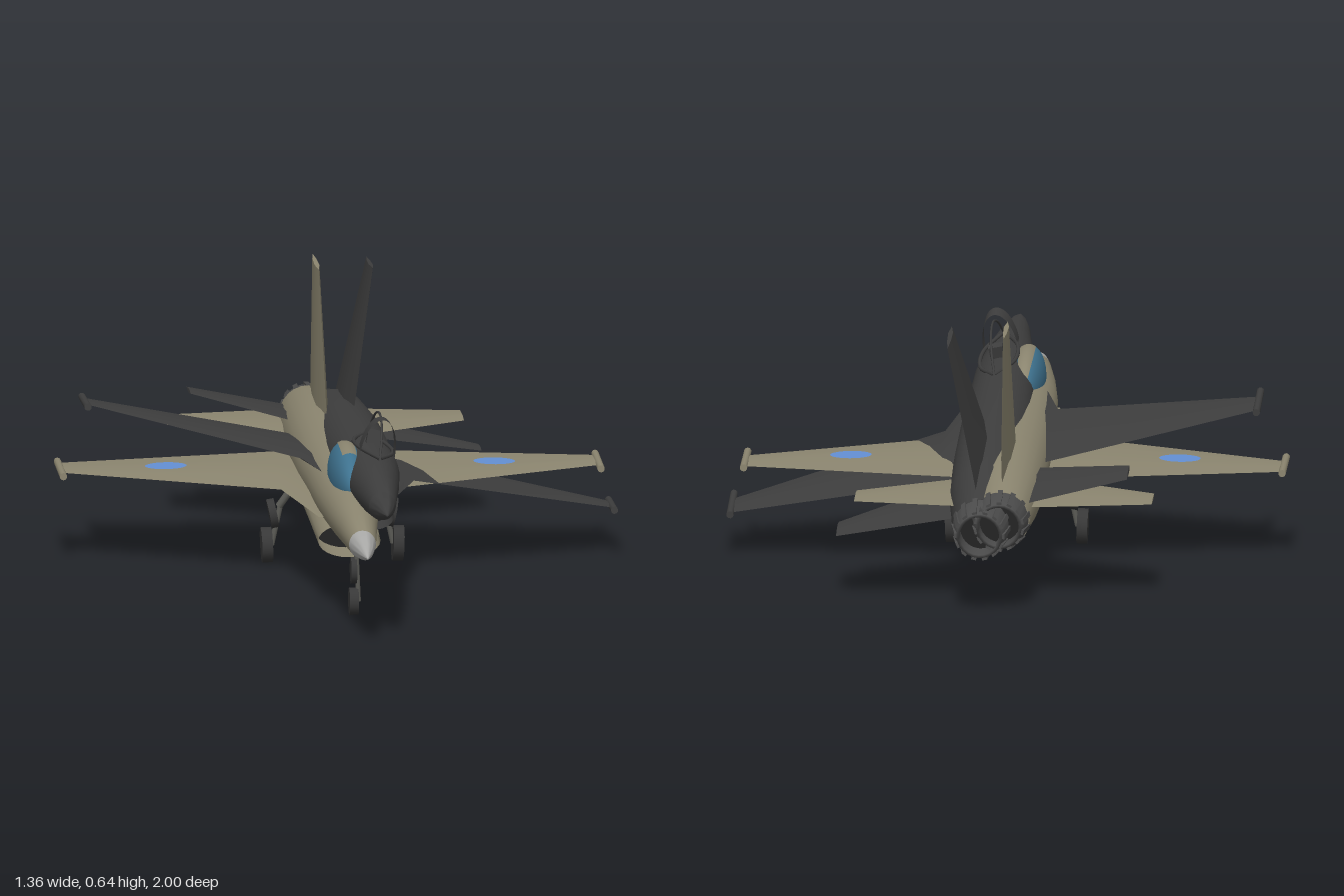
import * as THREE from 'three';
import { toCreasedNormals } from 'three/addons/utils/BufferGeometryUtils.js';

const mat = (name, color, side = THREE.FrontSide) => {
  const m = new THREE.MeshStandardMaterial({ color, side });
  m.name = name;
  return m;
};
const V = (x, y, z) => new THREE.Vector3(x, y, z);

// Skin a list of equal-length rings; the winding is made to face outwards.
function loft(rings, capStart = true, capEnd = true) {
  const n = rings[0].length, pts = rings.flat(), idx = [];
  for (let r = 0; r < rings.length - 1; r++)
    for (let i = 0; i < n; i++) {
      const a = r * n + i, b = r * n + (i + 1) % n;
      idx.push(a, b, b + n, a, b + n, a + n);
    }
  const last = (rings.length - 1) * n;
  for (let i = 1; i < n - 1; i++) {
    if (capStart) idx.push(0, i + 1, i);
    if (capEnd) idx.push(last, last + i, last + i + 1);
  }
  let volume = 0;
  const c = pts.reduce((s, p) => s.add(p), V(0, 0, 0)).divideScalar(pts.length);
  for (let i = 0; i < idx.length; i += 3) {
    const [a, b, d] = [0, 1, 2].map(k => pts[idx[i + k]].clone().sub(c));
    volume += a.dot(b.cross(d));
  }
  if (volume < 0) idx.reverse();
  const g = new THREE.BufferGeometry().setFromPoints(pts);
  g.setIndex(idx);
  return toCreasedNormals(g, 0.6);
}

// Oval body section: z, half width, top y, bottom y
const oval = ([z, w, top, bottom]) => Array.from({ length: 24 }, (_, i) => {
  const a = i / 24 * Math.PI * 2;
  return V(w * Math.cos(a), (top + bottom) / 2 + (top - bottom) / 2 * Math.sin(a), z);
});

// Thin aerofoil section from leading to trailing z, placed by a mapping
const foil = (lead, trail, t, place) => [[0, 0], [0.3, t], [0.65, t * 0.8], [1, 0], [0.65, -t * 0.8], [0.3, -t]]
  .map(([f, h]) => place(h, lead + (trail - lead) * f));

// Both sides of a wing in one skin: stations of x, lead z, trail z, half thickness
const wingPair = (stations, y) => loft(
  [...stations.map(([x, ...s]) => [-x, ...s]), ...[...stations].reverse()]
    .map(([x, l, t, h]) => foil(l, t, h, (v, z) => V(x, y + v, z))));

function rod(a, b, r) {
  const d = b.clone().sub(a);
  const g = new THREE.CylinderGeometry(r, r, d.length(), 10);
  g.applyQuaternion(new THREE.Quaternion().setFromUnitVectors(V(0, 1, 0), d.normalize()));
  return g.translate(...a.clone().add(b).multiplyScalar(0.5).toArray());
}

export function createModel() {
  const M = {
    tan: mat('tan paint', 0x8c8670, THREE.DoubleSide),
    dark: mat('charcoal paint', 0x3e3e3e, THREE.DoubleSide),
    nozzle: mat('nozzle metal', 0x4c4c4c, THREE.DoubleSide),
    black: mat('shadow black', 0x252525, THREE.DoubleSide),
    gear: mat('gear grey', 0x5a5a55),
    tyre: mat('tyre rubber', 0x383838),
    radome: mat('radome grey', 0xaaaaa8),
    glass: mat('canopy glass', 0x3f7390),
    blue: mat('wing marking blue', 0x6490d4),
  };
  const add = (parent, name, geometry, material) => {
    const mesh = new THREE.Mesh(geometry, material);
    mesh.name = name;
    parent.add(mesh);
    return mesh;
  };

  // Airframe common to both jets
  function airframe(name, paint, nosePaint) {
    const jet = new THREE.Group();
    jet.name = name;
    const nose = [[1, 0.002, 0.232, 0.228], [0.92, 0.02, 0.252, 0.21], [0.83, 0.033, 0.266, 0.197]];
    const body = [nose[2], [0.7, 0.045, 0.288, 0.19], [0.55, 0.06, 0.306, 0.183], [0.35, 0.075, 0.318, 0.18],
      [0.1, 0.082, 0.322, 0.168], [-0.1, 0.088, 0.326, 0.15], [-0.4, 0.09, 0.328, 0.14],
      [-0.7, 0.086, 0.318, 0.14], [-0.9, 0.07, 0.288, 0.15]];
    add(jet, 'noseCone', loft(nose.map(oval), true, false), nosePaint);
    add(jet, 'fuselage', loft(body.map(oval), false, true), paint);

    // Chin intake with an open lip
    const intake = [[0.41, 0.076, 0.2, 0.118], [0.2, 0.08, 0.22, 0.124], [-0.05, 0.085, 0.23, 0.136], [-0.3, 0.08, 0.23, 0.145]];
    add(jet, 'intake', loft(intake.map(oval), false, true), paint);
    const duct = new THREE.CircleGeometry(1, 24).scale(0.076, 0.044, 1).translate(0, 0.165, 0.3);
    add(jet, 'intakeDuct', duct, M.black);

    // Wings with leading-edge strakes, tailplanes and fin
    add(jet, 'wings', wingPair([[0.65, -0.18, -0.31, 0.004], [0.14, 0.07, -0.41, 0.012], [0.075, 0.42, -0.42, 0.014]], 0.221), paint);
    add(jet, 'tailplanes', wingPair([[0.362, -0.67, -0.8, 0.004], [0.09, -0.5, -0.845, 0.01]], 0.24), paint);
    add(jet, 'fin', loft([[0.27, -0.25, -0.845, 0.018], [0.33, -0.315, -0.83, 0.014], [0.64, -0.56, -0.77, 0.006]]
      .map(([y, l, t, h]) => foil(l, t, h, (v, z) => V(v, y, z)))), paint);

    // Wing-tip rails
    for (const s of [-1, 1]) {
      const rail = rod(V(s * 0.655, 0.221, -0.33), V(s * 0.655, 0.221, -0.132), 0.009);
      add(jet, 'tipRail', rail, paint);
    }

    // Engine nozzle with raised petals
    const nozzle = new THREE.Group();
    nozzle.name = 'engineNozzle';
    nozzle.position.set(0, 0.219, 0);
    jet.add(nozzle);
    const profile = [[0.069, 0.89], [0.066, 0.93], [0.055, 0.985], [0.048, 0.985], [0.05, 0.91]].map(p => new THREE.Vector2(...p));
    add(nozzle, 'nozzleShell', new THREE.LatheGeometry(profile, 24).rotateX(-Math.PI / 2), M.nozzle);
    add(nozzle, 'nozzleCore', new THREE.CircleGeometry(0.05, 24).rotateY(Math.PI).translate(0, 0, -0.915), M.black);
    for (let i = 0; i < 14; i++) {
      const petal = new THREE.BoxGeometry(0.012, 0.006, 0.09).rotateX(-0.13).translate(0, 0.064, -0.94);
      add(nozzle, 'nozzlePetal', petal.rotateZ(i / 14 * Math.PI * 2), M.nozzle);
    }
    return jet;
  }

  const model = new THREE.Group();
  model.name = 'jetPair';

  // Tan jet, parked on its wheels
  const tanJet = airframe('tanJet', M.tan, M.radome);
  tanJet.position.x = -0.017;
  model.add(tanJet);

  const canopy = add(tanJet, 'canopyGlass', new THREE.SphereGeometry(1, 28, 20).rotateX(Math.PI / 2), M.glass);
  canopy.scale.set(0.046, 0.075, 0.2);
  canopy.position.set(0, 0.308, 0.34);
  const strip = add(tanJet, 'canopySpine',
    new THREE.SphereGeometry(1.015, 8, 16, Math.PI * 1.5 - 0.42, 0.84, 1.16, 1.5).rotateX(Math.PI / 2), M.tan);
  strip.scale.copy(canopy.scale);
  strip.position.copy(canopy.position);

  for (const s of [-1, 1]) {
    const spot = new THREE.CircleGeometry(0.046, 28).rotateX(-Math.PI / 2).scale(1.1, 1, 0.95);
    // Follow the slope of the wing skin
    spot.rotateZ(-s * 0.015).translate(s * 0.4, 0.2305, -0.205);
    add(tanJet, 'wingMarking', spot, M.blue);
  }

  // Landing gear: disc-shaped wheel with a smaller hub disc above it
  const disc = (name, p, r, w, material, lean = 0) => {
    const d = add(tanJet, name, new THREE.CylinderGeometry(r, r, w, 22).rotateZ(Math.PI / 2), material);
    d.position.copy(p);
    d.rotation.z = lean;
  };
  disc('noseWheel', V(0, 0.036, 0.547), 0.033, 0.022, M.tyre);
  disc('noseGearDisc', V(0, 0.112, 0.545), 0.032, 0.014, M.tyre);
  add(tanJet, 'noseStrut', rod(V(0.012, 0.036, 0.547), V(0.004, 0.2, 0.555), 0.006), M.gear);
  for (const s of [-1, 1]) {
    disc('mainWheel', V(s * 0.16, 0.045, -0.135), 0.043, 0.026, M.tyre, -s * 0.04);
    disc('mainGearDisc', V(s * 0.145, 0.122, -0.138), 0.036, 0.018, M.tyre, -s * 0.2);
    add(tanJet, 'mainStrut', rod(V(s * 0.148, 0.045, -0.135), V(s * 0.125, 0.15, -0.135), 0.007), M.gear);
    add(tanJet, 'mainStrutTop', rod(V(s * 0.13, 0.14, -0.135), V(s * 0.075, 0.22, -0.125), 0.009), M.gear);
  }

  // Dark jet, banked with its nose raised
  const darkFrame = airframe('darkJet', M.dark, M.dark);
  darkFrame.position.y = -0.22;
  const darkJet = new THREE.Group();
  darkJet.name = 'bankedJet';
  darkJet.add(darkFrame);
  darkJet.position.set(0.03, 0.26, -0.013);
  darkJet.rotation.set(-0.062, 0, -0.209);
  model.add(darkJet);

  // Open canopy frame: broad hoop, thin centre arc, sills and a seat
  const hoop = new THREE.CylinderGeometry(1, 1, 0.07, 24, 1, true, Math.PI / 2, Math.PI);
  hoop.rotateX(Math.PI / 2).scale(0.042, 0.085, 1).translate(0, 0.312, 0.435);
  add(darkFrame, 'canopyHoop', hoop, M.dark);
  const arc = new THREE.CatmullRomCurve3([V(0, 0.31, 0.55), V(0, 0.36, 0.47), V(0, 0.393, 0.34), V(0, 0.376, 0.2), V(0, 0.318, 0.12)]);
  add(darkFrame, 'canopyArc', new THREE.TubeGeometry(arc, 24, 0.003, 6), M.dark);
  for (const s of [-1, 1]) {
    const sill = new THREE.CatmullRomCurve3([V(0, 0.312, 0.55), V(s * 0.042, 0.314, 0.4), V(s * 0.042, 0.314, 0.25), V(0, 0.322, 0.12)]);
    add(darkFrame, 'canopySill', new THREE.TubeGeometry(sill, 20, 0.005, 6), M.dark);
  }
  add(darkFrame, 'seat', new THREE.BoxGeometry(0.035, 0.05, 0.025).rotateX(-0.2).translate(0, 0.325, 0.3), M.dark);

  return model;
}
